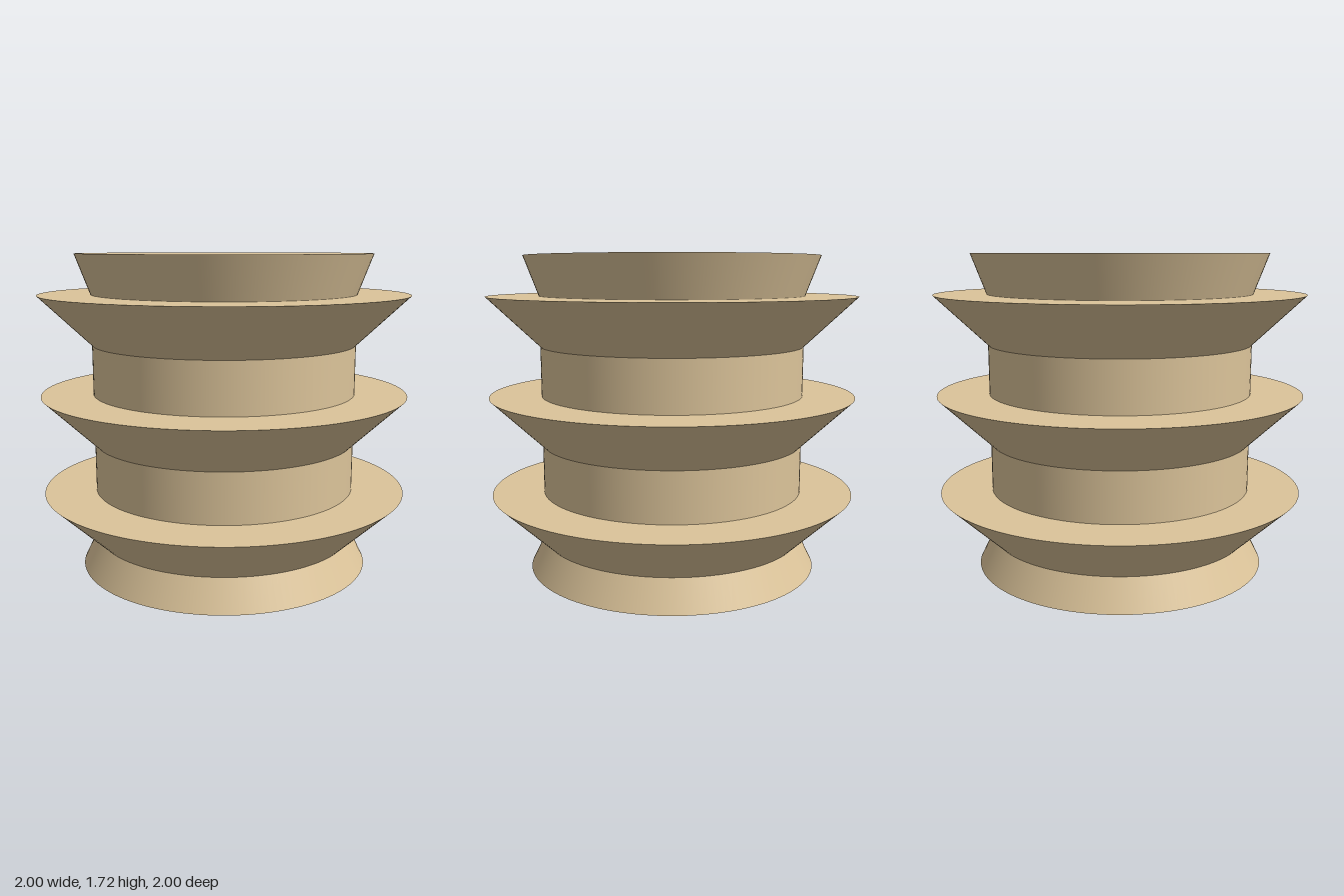
import * as THREE from 'three';

const SEGMENTS = 128;
const CORE = 0.72; // radius of the inner column
const RIM = 1.0;   // radius of the flared discs
const END = 0.8;   // radius of the foot and the top

export function createModel() {
  const group = new THREE.Group();
  const material = new THREE.MeshStandardMaterial({ color: 0xdcc49a });

  // Round section between two heights, optionally tapered
  function section(name, y0, y1, bottomRadius, topRadius) {
    const geometry = new THREE.CylinderGeometry(topRadius, bottomRadius, y1 - y0, SEGMENTS);
    const mesh = new THREE.Mesh(geometry, material);
    mesh.name = name;
    mesh.position.y = (y0 + y1) / 2;
    group.add(mesh);
  }

  // Foot, narrowing upwards
  section('foot', 0, 0.162, END, CORE);

  // Three flared discs with flat tops, evenly stacked
  const pitch = 0.5365;
  for (let i = 0; i < 3; i++) {
    const y = 0.162 + i * pitch;
    section('flaredDisc' + (i + 1), y, y + 0.268, CORE, RIM);
    // Straight column up to the next disc
    if (i < 2) section('column' + (i + 1), y + 0.268, y + pitch, CORE, CORE);
  }

  // Top, widening upwards
  section('top', 1.503, 1.717, CORE, END);

  return group;
}
